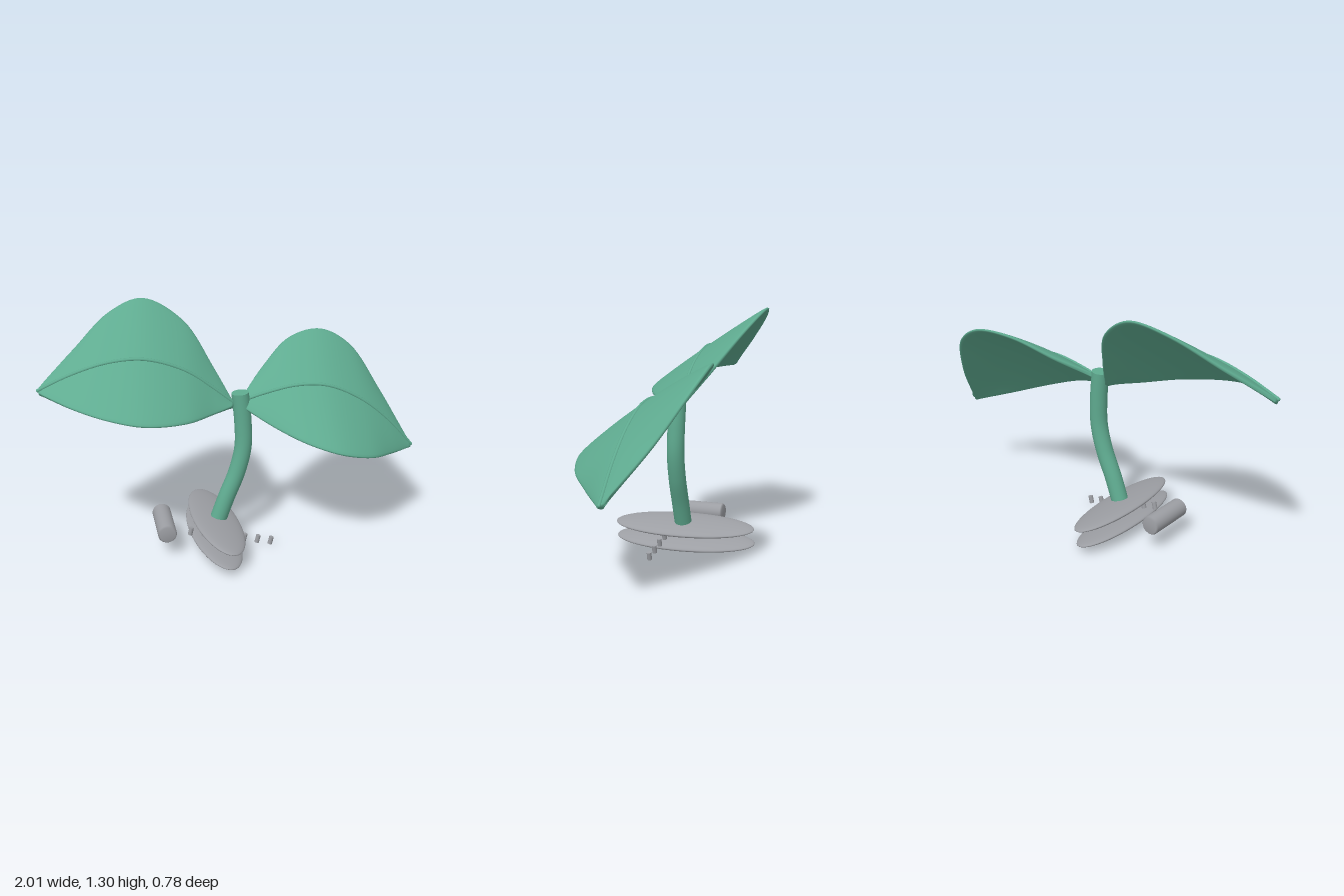
import * as THREE from 'three';

const green = new THREE.MeshStandardMaterial({ color: 0x5fab90 });
green.name = 'leafGreen';
const grey = new THREE.MeshStandardMaterial({ color: 0x9c9ea3 });
grey.name = 'baseGrey';

const curve = (pts) => new THREE.CatmullRomCurve3(pts.map(([x, y, z = -0.01]) => new THREE.Vector3(x, y, z)));

function mesh(name, geometry, material) {
  const m = new THREE.Mesh(geometry, material);
  m.name = name;
  return m;
}

// Leaf blade lofted across a back edge, a midrib and a front edge, with a raised rib on top
function makeLeaf(name, back, mid, front, side) {
  const B = curve(back), M = curve(mid), F = curve(front);
  const rows = 48, around = 40, half = 0.013;
  const centre = (u, s) => {
    const b = B.getPoint(u), m = M.getPoint(u), f = F.getPoint(u);
    const ctrl = m.clone().multiplyScalar(2).addScaledVector(b, -0.5).addScaledVector(f, -0.5);
    return b.multiplyScalar((1 - s) ** 2).addScaledVector(ctrl, 2 * s * (1 - s)).addScaledVector(f, s * s);
  };
  const normalAt = (u, s) => {
    const e = 0.01;
    const across = centre(u, Math.min(1, s + e)).sub(centre(u, Math.max(0, s - e)));
    const along = centre(Math.min(1, u + e), s).sub(centre(Math.max(0, u - e), s));
    return across.cross(along).normalize().multiplyScalar(side);
  };

  const pos = [], idx = [];
  const tri = (a, b, c) => (side > 0 ? idx.push(a, b, c) : idx.push(a, c, b));
  for (let i = 0; i <= rows; i++) {
    const u = i / rows;
    for (let j = 0; j < around; j++) {
      const t = (j / around) * Math.PI * 2;
      const s = (1 - Math.cos(t)) / 2, sn = Math.sin(t);
      const h = half * Math.sign(sn) * Math.abs(sn) ** 0.4;
      pos.push(...centre(u, s).addScaledVector(normalAt(u, s), h).toArray());
    }
  }
  const start = pos.length / 3, end = start + 1, last = rows * around;
  pos.push(...centre(0, 0.5).toArray(), ...centre(1, 0.5).toArray());
  for (let j = 0; j < around; j++) {
    const k = (j + 1) % around;
    for (let i = 0; i < rows; i++) {
      const a = i * around + j, b = i * around + k;
      tri(a, b, a + around);
      tri(b, b + around, a + around);
    }
    tri(start, k, j);
    tri(end, last + j, last + k);
  }
  const blade = new THREE.BufferGeometry();
  blade.setAttribute('position', new THREE.Float32BufferAttribute(pos, 3));
  blade.setIndex(idx);
  blade.computeVertexNormals();

  const ribPts = [];
  for (let i = 0; i <= 24; i++) {
    const u = i / 24;
    ribPts.push(M.getPoint(u).addScaledVector(normalAt(u, 0.5), half));
  }
  const rib = new THREE.TubeGeometry(new THREE.CatmullRomCurve3(ribPts), 48, 0.009, 10);

  const g = new THREE.Group();
  g.name = name;
  g.add(mesh('leafBlade', blade, green), mesh('leafRib', rib, green));
  for (const [i, sx] of [[0, 1], [24, 1]]) { // rounded rib ends
    const ball = mesh('ribEnd', new THREE.SphereGeometry(0.009 * sx, 10, 8), green);
    ball.position.copy(ribPts[i]);
    g.add(ball);
  }
  return g;
}

export function createModel() {
  const model = new THREE.Group();
  model.name = 'sprout';

  // Pair of leaves
  model.add(makeLeaf('leftLeaf',
    [[0.05, 0.835, -0.03], [0.2, 0.945, -0.19], [0.37, 1.055, -0.315], [0.56, 1.075, -0.367],
      [0.72, 0.985, -0.34], [0.86, 0.755, -0.21], [0.98, 0.505, -0.025]],
    [[0.05, 0.815], [0.18, 0.85], [0.34, 0.878], [0.5, 0.865], [0.68, 0.78], [0.84, 0.65], [0.985, 0.49]],
    [[0.05, 0.785, 0.02], [0.19, 0.715, 0.15], [0.33, 0.665, 0.27], [0.49, 0.615, 0.322],
      [0.67, 0.56, 0.27], [0.83, 0.515, 0.14], [0.98, 0.48, 0.005]], 1));
  model.add(makeLeaf('rightLeaf',
    [[-0.01, 0.815, -0.03], [-0.09, 0.97, -0.15], [-0.22, 1.185, -0.3], [-0.42, 1.3, -0.367],
      [-0.6, 1.25, -0.315], [-0.8, 1.1, -0.175], [-0.99, 0.955, -0.025]],
    [[-0.01, 0.805], [-0.11, 0.89], [-0.26, 1.0], [-0.46, 1.07], [-0.64, 1.065], [-0.82, 1.015], [-0.99, 0.943]],
    [[-0.01, 0.8, 0.02], [-0.13, 0.805, 0.12], [-0.29, 0.82, 0.255], [-0.5, 0.845, 0.32],
      [-0.67, 0.875, 0.28], [-0.83, 0.905, 0.175], [-0.99, 0.935, 0.005]], -1));

  // Curved stem with a flat top
  const path = curve([[-0.095, 0.13, 0], [-0.045, 0.27, 0], [0.015, 0.42, -0.003], [0.048, 0.56, -0.006],
    [0.048, 0.7, -0.01], [0.033, 0.865, -0.013]]);
  model.add(mesh('stem', new THREE.TubeGeometry(path, 48, 0.046, 28), green));
  const top = mesh('stemTop', new THREE.CircleGeometry(0.046, 28), green);
  top.position.copy(path.getPoint(1));
  top.quaternion.setFromUnitVectors(new THREE.Vector3(0, 0, 1), path.getTangent(1));
  model.add(top);

  // Two stacked lens-shaped base discs
  const tilt = -0.23;
  for (const [name, x, y] of [['upperDisc', -0.102, 0.134], ['lowerDisc', -0.117, 0.052]]) {
    const disc = mesh(name, new THREE.SphereGeometry(1, 48, 32), grey);
    disc.scale.set(0.135, 0.028, 0.39);
    disc.rotation.set(0, 0.05, tilt);
    disc.position.set(x, y, 0);
    model.add(disc);
  }

  // Row of small pegs running through the base
  for (let i = 0; i < 7; i++) {
    const peg = mesh('peg', new THREE.CylinderGeometry(0.0125, 0.0125, 0.042, 16), grey);
    peg.position.set(-0.255 + i * 0.0733, 0.133 - i * 0.0172, 0.09);
    peg.rotation.z = tilt;
    model.add(peg);
  }

  // Side roller with softened ends
  const profile = [[0, -0.137], [0.042, -0.137], [0.05, -0.128], [0.05, 0.128], [0.042, 0.137], [0, 0.137]];
  const roller = mesh('roller', new THREE.LatheGeometry(profile.map(([r, y]) => new THREE.Vector2(r, y)), 32), grey);
  roller.rotation.x = Math.PI / 2;
  roller.position.set(-0.385, 0.148, 0);
  model.add(roller);

  return model;
}
